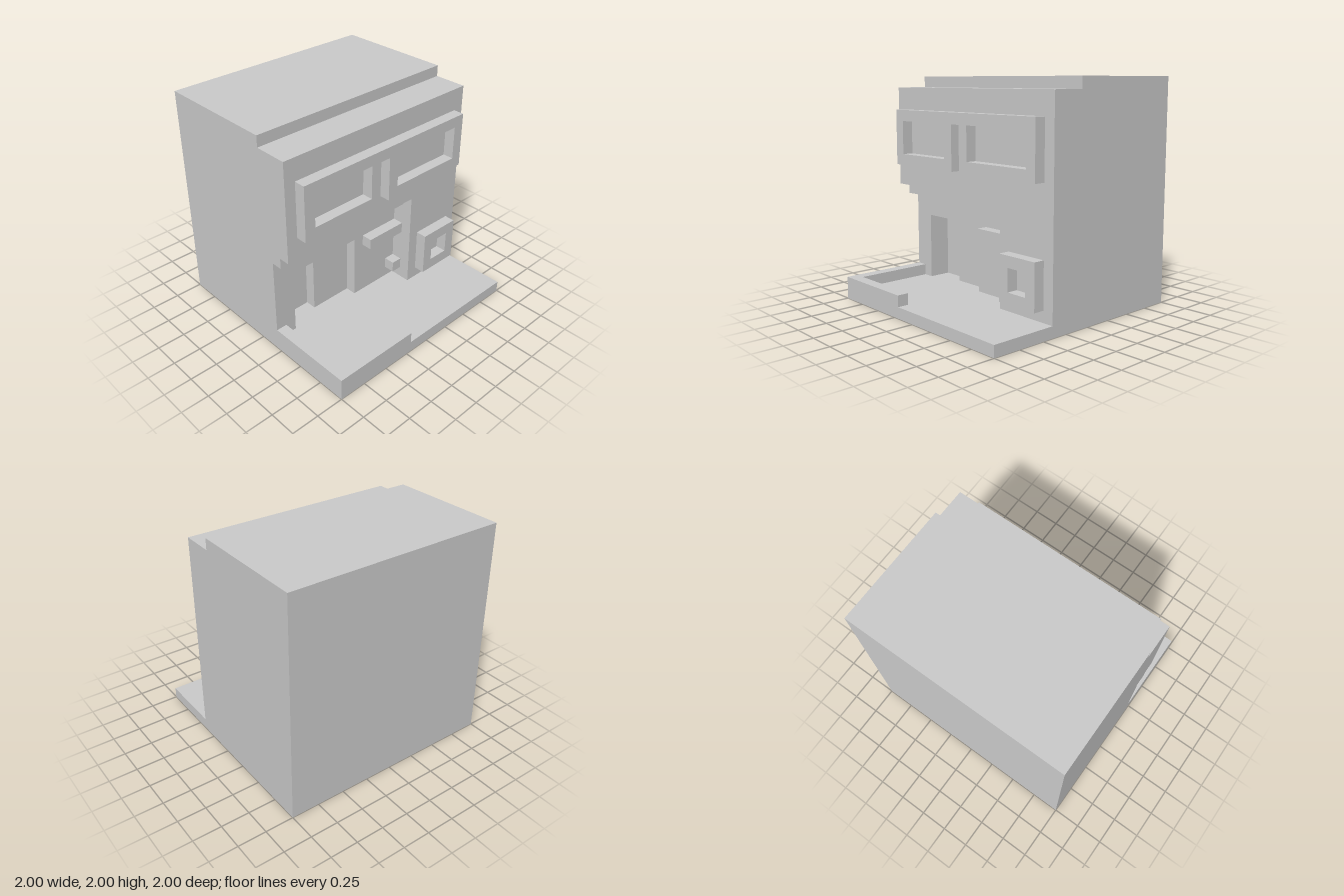
import * as THREE from 'three';

const material = new THREE.MeshStandardMaterial({ color: 0xcccccc, flatShading: true });

export function createModel() {
  const house = new THREE.Group();
  house.name = 'house';

  function add(name, geometry) {
    const mesh = new THREE.Mesh(geometry, material);
    mesh.name = name;
    house.add(mesh);
  }

  // Box given by its lower and upper limits on each axis
  function block(name, [x0, x1], [y0, y1], [z0, z1]) {
    const geometry = new THREE.BoxGeometry(x1 - x0, y1 - y0, z1 - z0);
    add(name, geometry.translate((x0 + x1) / 2, (y0 + y1) / 2, (z0 + z1) / 2));
  }

  const toShape = (points) => new THREE.Shape(points.map(([x, y]) => new THREE.Vector2(x, y)));

  // Floor plan in (x, z), raised from y0 to y1
  function plan(name, points, y0, y1) {
    const shape = toShape(points.map(([x, z]) => [x, -z]));
    const geometry = new THREE.ExtrudeGeometry(shape, { depth: y1 - y0, bevelEnabled: false });
    add(name, geometry.rotateX(-Math.PI / 2).translate(0, y0, 0));
  }

  // Raised window surround on the facade, with rectangular openings [x0, x1, y0, y1]
  function surround(name, outline, openings) {
    const shape = toShape(outline);
    for (const [x0, x1, y0, y1] of openings) {
      shape.holes.push(toShape([[x0, y0], [x0, y1], [x1, y1], [x1, y0]]));
    }
    const geometry = new THREE.ExtrudeGeometry(shape, { depth: 0.1, bevelEnabled: false });
    add(name, geometry.translate(0, 0, 0.4));
  }

  // Ground slab and the low wall around the terrace
  block('groundSlab', [-1, 1], [0, 0.1], [-1, 1]);
  plan('terraceWall', [
    [-1, 0.2], [-0.9, 0.2], [-0.9, 0.9], [-0.2, 0.9], [-0.2, 1], [-1, 1],
  ], 0.1, 0.2);

  // Ground floor, set back on one side with a stepped door recess
  plan('groundFloor', [
    [-1, -1], [1, -1], [1, 0.4], [0.4, 0.4], [0.4, 0.2], [-0.1, 0.2],
    [-0.1, 0.1], [-0.5, 0.1], [-0.5, 0], [-0.8, 0], [-0.8, 0.2], [-1, 0.2],
  ], 0.1, 0.7);

  // Wall above the door, then the stepped soffit
  const setback = (z) => [[-1, -1], [1, -1], [1, 0.4], [0.4, 0.4], [0.4, z], [-1, z]];
  plan('doorHeader', setback(0.2), 0.7, 0.9);
  plan('soffitStep', setback(0.3), 0.9, 1);

  // Upper floor and the stepped roof
  block('upperFloor', [-1, 1], [1, 1.9], [-1, 0.4]);
  block('roof', [-1, 1], [1.9, 2], [-1, 0.1]);

  // Ledge and small box beside the door
  block('wallLedge', [0, 0.4], [0.6, 0.7], [0.2, 0.3]);
  block('wallBox', [0.3, 0.4], [0.2, 0.3], [0.2, 0.3]);

  // Window surrounds; the upper one is notched from below between its windows
  surround('upperWindowSurround', [
    [-0.9, 1.2], [-0.1, 1.2], [-0.1, 1.6], [0, 1.6], [0, 1.2], [0.9, 1.2], [0.9, 1.7], [-0.9, 1.7],
  ], [[-0.8, -0.2, 1.3, 1.6], [0.1, 0.8, 1.3, 1.6]]);
  surround('lowerWindowSurround', [[0.5, 0.2], [0.9, 0.2], [0.9, 0.6], [0.5, 0.6]],
    [[0.6, 0.8, 0.3, 0.5]]);

  return house;
}
